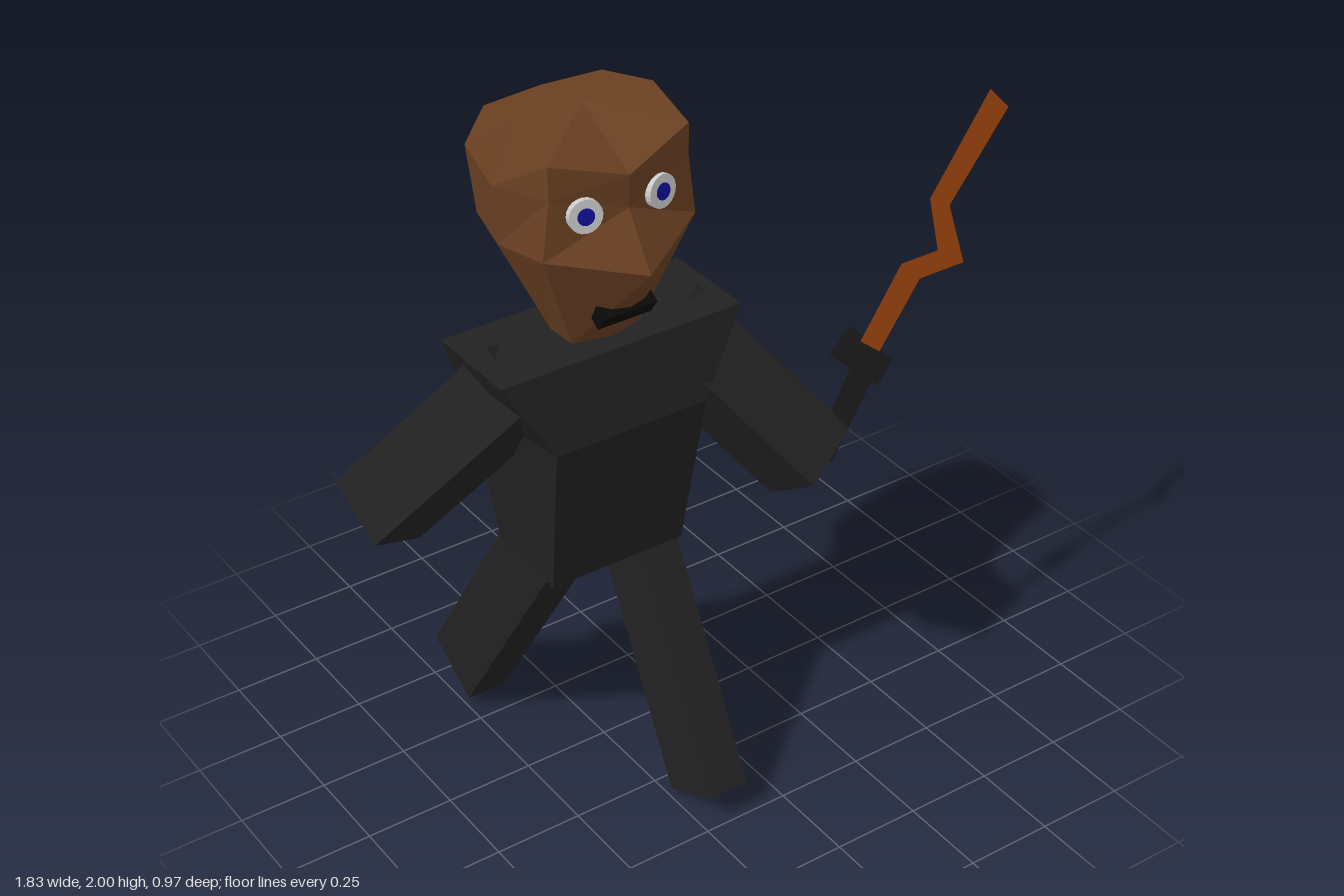
import * as THREE from 'three';

const CX = -0.307; // body centre line
const V = (x, y, z) => new THREE.Vector3(x, y, z);
const mat = (color, side = THREE.FrontSide) =>
  new THREE.MeshStandardMaterial({ color, flatShading: true, side });

// Closed skin over rings listed top to bottom; each ring runs front -> left -> back.
function loft(rings) {
  const n = rings[0].length, pos = [];
  const tri = (...pts) => pts.forEach((p) => pos.push(p[0], p[1], p[2]));
  const centre = (r) => [0, 1, 2].map((k) => r.reduce((s, p) => s + p[k], 0) / n);
  for (let j = 0; j < n; j++) {
    const k = (j + 1) % n;
    for (let i = 0; i < rings.length - 1; i++) {
      const a = rings[i], b = rings[i + 1];
      if (j < n / 2) { tri(a[j], b[j], b[k]); tri(a[j], b[k], a[k]); }
      else { tri(a[j], b[j], a[k]); tri(a[k], b[j], b[k]); }
    }
    const top = rings[0], low = rings[rings.length - 1];
    const peak = centre(top);
    if (n === 8) peak[1] = 2.0;
    tri(peak, top[j], top[k]);
    tri(centre(low), low[k], low[j]);
  }
  const g = new THREE.BufferGeometry();
  g.setAttribute('position', new THREE.Float32BufferAttribute(pos, 3));
  g.computeVertexNormals();
  return g;
}

// Square-cut limb ending at `end`, running back along -dir, with `side` as its width axis.
function limb(end, dir, side, length, w, d) {
  const y = dir.clone().normalize();
  const z = side.clone().cross(y).normalize();
  const x = y.clone().cross(z);
  const g = new THREE.BoxGeometry(w, length, d);
  g.translate(0, -length / 2, 0);
  g.applyMatrix4(new THREE.Matrix4().makeBasis(x, y, z).setPosition(end));
  return g;
}

// Thin flat cut-out, leaning back with height.
function plate(points) {
  const g = new THREE.ShapeGeometry(new THREE.Shape(points.map(([x, y]) => new THREE.Vector2(x, y))));
  const p = g.attributes.position;
  for (let i = 0; i < p.count; i++) p.setZ(i, 0.3 - 0.16 * (p.getY(i) - 1.1));
  g.computeVertexNormals();
  return g;
}

export function createModel() {
  const model = new THREE.Group();
  const cloth = mat(0x222222), skin = mat(0x6b4123), black = mat(0x0a0a0a);
  const add = (name, geometry, material, parent = model) => {
    const m = new THREE.Mesh(geometry, material);
    m.name = name;
    parent.add(m);
    return m;
  };

  // Torso: y, front half-width, back half-width, front z, back z
  add('torso', loft([
    [1.4, 0.355, 0.355, 0.21, -0.07],
    [1.175, 0.225, 0.27, 0.245, -0.11],
    [0.72, 0.2, 0.2, 0.17, -0.08],
  ].map(([y, f, b, zf, zb]) => [
    [CX - f, y, zf], [CX + f, y, zf], [CX + b, y, zb], [CX - b, y, zb],
  ])), cloth);

  // Head: half rings from front centre round to back centre, then mirrored
  const halves = [
    [[0, 1.89, 0.245], [0.2, 1.95, 0.2], [0.2, 2.0, 0.05], [0.17, 1.965, -0.13], [0, 1.965, -0.145]],
    [[0, 1.8, 0.238], [0.2, 1.86, 0.2], [0.258, 1.85, 0.04], [0.21, 1.86, -0.16], [0, 1.865, -0.2]],
    [[0, 1.655, 0.33], [0.22, 1.7, 0.2], [0.24, 1.68, 0.03], [0.19, 1.67, -0.15], [0, 1.66, -0.19]],
    [[0, 1.4, 0.155], [0.1, 1.4, 0.13], [0.105, 1.4, 0.04], [0.08, 1.4, -0.05], [0, 1.4, -0.07]],
  ];
  add('head', loft(halves.map((h) => [
    ...h.map(([x, y, z]) => [CX + x, y, z]),
    ...h.slice(1, 4).reverse().map(([x, y, z]) => [CX - x, y, z]),
  ])), skin);

  // Eyes: pale disc with a blue pupil
  for (const s of [-1, 1]) {
    const eye = new THREE.Group();
    eye.name = s > 0 ? 'leftEye' : 'rightEye';
    const disc = (r, depth) => new THREE.CylinderGeometry(r, r, depth, 20).rotateX(Math.PI / 2);
    add('eyeball', disc(0.044, 0.03), mat(0xc4c4c4), eye);
    add('pupil', disc(0.022, 0.036), mat(0x10109a), eye);
    eye.position.set(CX - 0.01 + s * 0.107, 1.81, 0.222);
    eye.rotation.set(-0.08, s * 0.2, 0);
    model.add(eye);
  }

  // Mouth, tilted along the lower face
  const mouth = add('mouth', new THREE.BoxGeometry(0.156, 0.05, 0.05), black);
  mouth.position.set(CX - 0.005, 1.515, 0.215);
  mouth.rotation.x = 0.6;

  // Arms swing opposite ways: one is the other turned half round the body
  for (const s of [-1, 1]) {
    const end = V(CX + s * 0.52, 0.908, 0.075 + s * 0.225);
    add(s > 0 ? 'leftArm' : 'rightArm',
      limb(end, V(s * 0.537, -0.727, s * 0.428), V(s * 0.16, 0.08, s * -0.065), 0.58, 0.195, 0.197), cloth);
  }

  // Legs in mid stride
  add('leftLeg', limb(V(-0.172, 0.05, 0.395), V(0, -0.887, 0.462), V(1, 0, 0), 0.8, 0.116, 0.206), cloth);
  add('rightLeg', limb(V(-0.44, 0.085, -0.4), V(0, -0.84, -0.543), V(1, 0, 0), 0.8, 0.116, 0.203), cloth);

  // Jagged wand with a dark grip and crossguard
  const wand = new THREE.Group();
  wand.name = 'wand';
  const dark = mat(0x1c1c1c, THREE.DoubleSide);
  add('grip', plate([[0.2, 0.94], [0.26, 0.9], [0.42, 1.1], [0.36, 1.17]]), dark, wand);
  add('crossguard', plate([[0.28, 1.2], [0.425, 1.065], [0.482, 1.122], [0.35, 1.26]]), dark, wand);
  add('blade', plate([
    [0.381, 1.206], [0.44, 1.158], [0.587, 1.317], [0.735, 1.317], [0.698, 1.487],
    [0.91, 1.698], [0.852, 1.762], [0.635, 1.524], [0.651, 1.376], [0.53, 1.376],
  ]), mat(0xa0460f, THREE.DoubleSide), wand);
  model.add(wand);

  return model;
}
